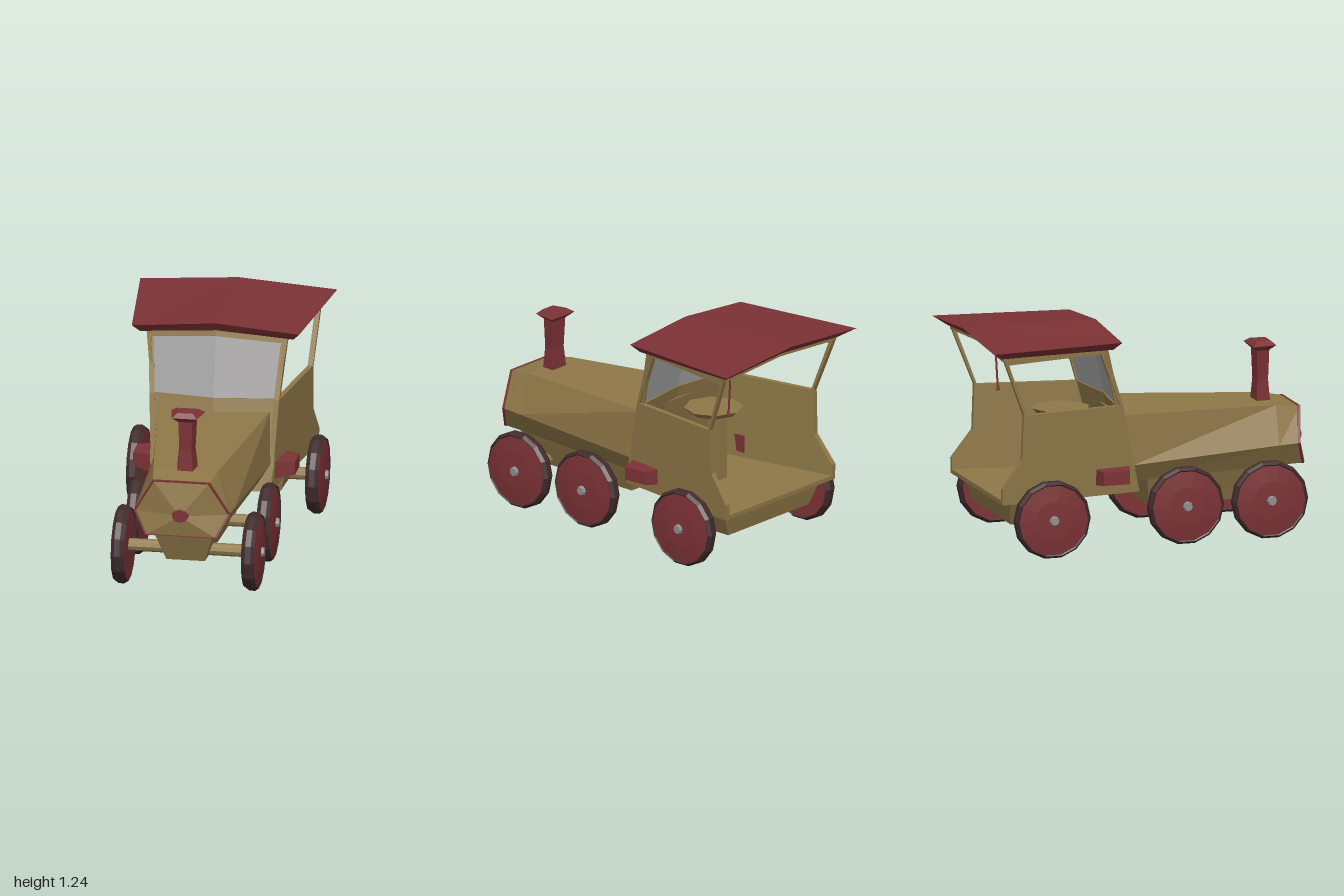
import * as THREE from 'three';

const material = (name, color) => {
  const m = new THREE.MeshStandardMaterial({ color });
  m.name = name;
  return m;
};

// Hard-edged facets
function flat(geo) {
  const g = geo.index ? geo.toNonIndexed() : geo;
  g.computeVertexNormals();
  return g;
}

// Mirror across x = 0, keeping faces outward
function mirrored(geo) {
  const g = geo.clone().scale(-1, 1, 1);
  const p = g.attributes.position;
  const a = new THREE.Vector3(), b = new THREE.Vector3();
  for (let i = 0; i < p.count; i += 3) {
    a.fromBufferAttribute(p, i + 1);
    b.fromBufferAttribute(p, i + 2);
    p.setXYZ(i + 1, b.x, b.y, b.z);
    p.setXYZ(i + 2, a.x, a.y, a.z);
  }
  g.computeVertexNormals();
  return g;
}

// Closed solid through matching rings of [x, y, z] points
function loft(rings) {
  const R = rings.map(r => r.map(p => new THREE.Vector3(...p)));
  const n = R[0].length, tris = [];
  let volume = 0;
  const add = (a, b, c) => {
    if (new THREE.Triangle(a, b, c).getArea() < 1e-8) return;
    tris.push([a, b, c]);
    volume += a.dot(b.clone().cross(c));
  };
  for (let k = 0; k < R.length - 1; k++) {
    for (let i = 0; i < n; i++) {
      const j = (i + 1) % n;
      add(R[k][i], R[k][j], R[k + 1][j]);
      add(R[k][i], R[k + 1][j], R[k + 1][i]);
    }
  }
  for (const [ring, last] of [[R[0], false], [R[R.length - 1], true]]) {
    const c = ring.reduce((s, p) => s.add(p), new THREE.Vector3()).divideScalar(n);
    for (let i = 0; i < n; i++) {
      const j = (i + 1) % n;
      if (last) add(c, ring[i], ring[j]); else add(c, ring[j], ring[i]);
    }
  }
  const points = tris.flatMap(([a, b, c]) => (volume > 0 ? [a, b, c] : [a, c, b]));
  const g = new THREE.BufferGeometry().setFromPoints(points);
  g.computeVertexNormals();
  return g;
}

// Extrude a 2D outline and move its vertices by a rule
function panel(outline, depth, rule, hole) {
  const v = a => a.map(([x, y]) => new THREE.Vector2(x, y));
  const shape = new THREE.Shape(v(outline));
  if (hole) shape.holes.push(new THREE.Path(v(hole)));
  const g = new THREE.ExtrudeGeometry(shape, { depth, bevelEnabled: false });
  const p = g.attributes.position;
  for (let i = 0; i < p.count; i++) p.setXYZ(i, ...rule(p.getX(i), p.getY(i), p.getZ(i)));
  return flat(g);
}

export function createModel() {
  const wood = material('tan body', 0x8f7848);
  const red = material('dark red', 0x7c3235);
  const tyreDark = material('dark tyre', 0x402b2c);
  const glass = material('grey glass', 0xa5a3a3);
  const steel = material('hub grey', 0x8e8f8f);

  const model = new THREE.Group();
  const add = (name, geo, mat, parent = model) => {
    const m = new THREE.Mesh(geo, mat);
    m.name = name;
    parent.add(m);
    return m;
  };
  const both = (name, geo, mat) => {
    add(name + 'Left', geo, mat);
    add(name + 'Right', mirrored(geo), mat);
  };

  // Boiler: six-sided, widening toward the cab
  const hex = (top, mid, bot) => [top, mid, bot,
    ...[bot, mid, top].map(([x, y, z]) => [-x, y, z])];
  const front = hex([0.16, 0.71, 0.95], [0.27, 0.52, 0.915], [0.2, 0.39, 0.96]);
  const grow = (ring, s, dz) => ring.map(([x, y, z]) => [x * s, 0.54 + (y - 0.54) * s, z + dz]);
  add('boiler', loft([
    hex([0.32, 0.76, -0.165], [0.335, 0.47, -0.1], [0.27, 0.365, -0.085]),
    hex([0.185, 0.73, 0.8], [0.28, 0.515, 0.79], [0.21, 0.387, 0.8]),
    front]), wood);
  add('noseTrim', loft([grow(front, 1.02, -0.012), grow(front, 1.02, 0.003)]), red);
  add('nose', loft([grow(front, 0.97, -0.01), grow(front, 0.97, 0.008), front.map(() => [0, 0.52, 0.995])]), wood);
  const badge = add('noseLamp', flat(new THREE.CylinderGeometry(0.045, 0.05, 0.02, 10).rotateX(Math.PI / 2)), red);
  badge.position.set(0, 0.52, 0.989);
  badge.scale.y = 0.8;

  // Keel under the boiler
  add('keel', loft([
    [[-0.18, 0.4, 0.88], [0.18, 0.4, 0.88], [0.11, 0.19, 0.8], [-0.11, 0.19, 0.8]],
    [[-0.22, 0.39, 0.02], [0.22, 0.39, 0.02], [0.15, 0.19, 0.06], [-0.15, 0.19, 0.06]]]), wood);

  // Chimney with flared cap
  const stack = [[0.71, 0.62], [0.85, 0.48], [1.02, 0.56], [1.03, 0.72], [1.05, 1], [1.075, 0.62]];
  add('chimney', loft(stack.map(([y, s]) =>
    [[-0.098, -0.07], [0.098, -0.07], [0.072, 0.07], [-0.072, 0.07]]
      .map(([x, z]) => [x * s, y, 0.77 + z * s]))), red);

  // Cab sides: outline as (-z, y), splayed outward toward the rear
  const wallX = (s, y) => 0.345 + 0.15 * (s - 0.065) + 0.022 * (y - 0.32);
  both('cabSide', panel(
    [[0.065, 0.32], [0.92, 0.32], [0.92, 0.41], [0.8, 0.57], [0.79, 0.83], [0.92, 1.17], [0.28, 1.17], [0.17, 0.83]],
    0.03, (s, y, d) => [wallX(s, y) - 0.03 + d, y, -s],
    [[0.19, 0.83], [0.31, 1.14], [0.885, 1.13], [0.775, 0.83]]), wood);

  // Cab front and windscreen, each folded along the centre
  const fold = offset => (x, y, d) =>
    [x, y, -0.065 - 0.24 * (y - 0.32) + 0.05 * (1 - x / 0.4) + offset + d];
  both('cabFront', panel(
    [[0, 0.32], [0.325, 0.32], [0.355, 0.45], [0.362, 0.83], [0.405, 1.17], [0, 1.2],
      [0, 1.175], [0.378, 1.14], [0.348, 0.83], [0, 0.83]], 0.03, fold(-0.03)), wood);
  both('windscreen', panel([[0, 0.82], [0.35, 0.82], [0.382, 1.145], [0, 1.18]], 0.008, fold(-0.02)), glass);

  // Cab floor and the pan beneath it
  const slab = (y, w0, z0, w1, z1) => [[-w0, y, z0], [w0, y, z0], [w1, y, z1], [-w1, y, z1]];
  add('floor', loft([slab(0.32, 0.33, -0.07, 0.46, -0.92), slab(0.345, 0.33, -0.08, 0.46, -0.92)]), wood);
  add('floorPan', loft([slab(0.18, 0.33, -0.46, 0.35, -0.83), slab(0.325, 0.37, -0.44, 0.42, -0.86)]), wood);

  // Gabled roof and ceiling, lofted from eave to eave
  const gable = (frontW, rearW, x, yb, yt, inset) => [
    [x * (frontW - 0.04), yb, -0.25], [x * frontW, yt, -0.21 - inset],
    [x * rearW, yt, -1 + inset], [x * (rearW - 0.075), yb, -0.93]];
  add('roof', loft([
    gable(0.48, 0.565, -1, 1.17, 1.215, 0), gable(0.48, 0.565, 0, 1.2, 1.255, 0),
    gable(0.48, 0.565, 1, 1.17, 1.215, 0)]), red);
  const ceiling = [[-1, 1.15], [0, 1.18], [1, 1.15]].map(([x, y]) => [
    [x * 0.4, y, -0.27], [x * 0.4, y + 0.018, -0.27], [x * 0.48, y + 0.018, -0.92], [x * 0.48, y, -0.92]]);
  add('ceiling', loft(ceiling), wood);

  // Driver's post with flat top, and hanging cord
  add('post', flat(new THREE.BoxGeometry(0.075, 0.4, 0.075)), wood).position.set(0, 0.54, -0.45);
  add('postTop', flat(new THREE.CylinderGeometry(0.17, 0.14, 0.03, 8)), wood).position.set(0, 0.75, -0.42);
  const cord = add('cord', flat(new THREE.CylinderGeometry(0.006, 0.006, 0.32, 6)), red);
  cord.position.set(0.22, 1.0, -0.73);
  cord.rotation.x = -0.06;
  add('cordHandle', flat(new THREE.CylinderGeometry(0.007, 0.012, 0.03, 6)), red).position.set(0.22, 0.85, -0.72);

  // Side boxes
  const plate = (x, z0, z1, y0, y1) => [[x, y0, z0], [x, y0, z1], [x, y1, z1], [x, y1, z0]];
  both('sideBox', loft([plate(0.35, -0.125, -0.345, 0.375, 0.475), plate(0.465, -0.16, -0.315, 0.392, 0.468)]), red);

  // Wheels and axles
  const lathe = pts => flat(new THREE.LatheGeometry(pts.map(p => new THREE.Vector2(...p)), 14));
  const disc = lathe([[0, -0.035], [0.207, -0.035], [0.207, 0.03], [0.11, 0.042], [0, 0.045]]);
  const tyre = lathe([[0.2, -0.03], [0.208, -0.04], [0.225, -0.016], [0.225, 0.016], [0.21, 0.036], [0.2, 0.028]]);
  const hub = flat(new THREE.CylinderGeometry(0.024, 0.034, 0.03, 8));
  for (const [label, z, x] of [['front', 0.7, 0.375], ['middle', 0.2, 0.375], ['rear', -0.64, 0.515]]) {
    const axle = flat(new THREE.CylinderGeometry(0.036, 0.036, 2 * x, 10).rotateZ(Math.PI / 2));
    add(label + 'Axle', axle, wood).position.set(0, 0.23, z);
    for (const side of [1, -1]) {
      const wheel = new THREE.Group();
      wheel.name = label + (side > 0 ? 'WheelLeft' : 'WheelRight');
      wheel.position.set(side * x, 0.23, z);
      wheel.rotation.z = -side * Math.PI / 2;
      add('wheelDisc', disc, red, wheel);
      add('tyre', tyre, tyreDark, wheel);
      add('hub', hub, steel, wheel).position.y = 0.046;
      model.add(wheel);
    }
  }
  return model;
}
